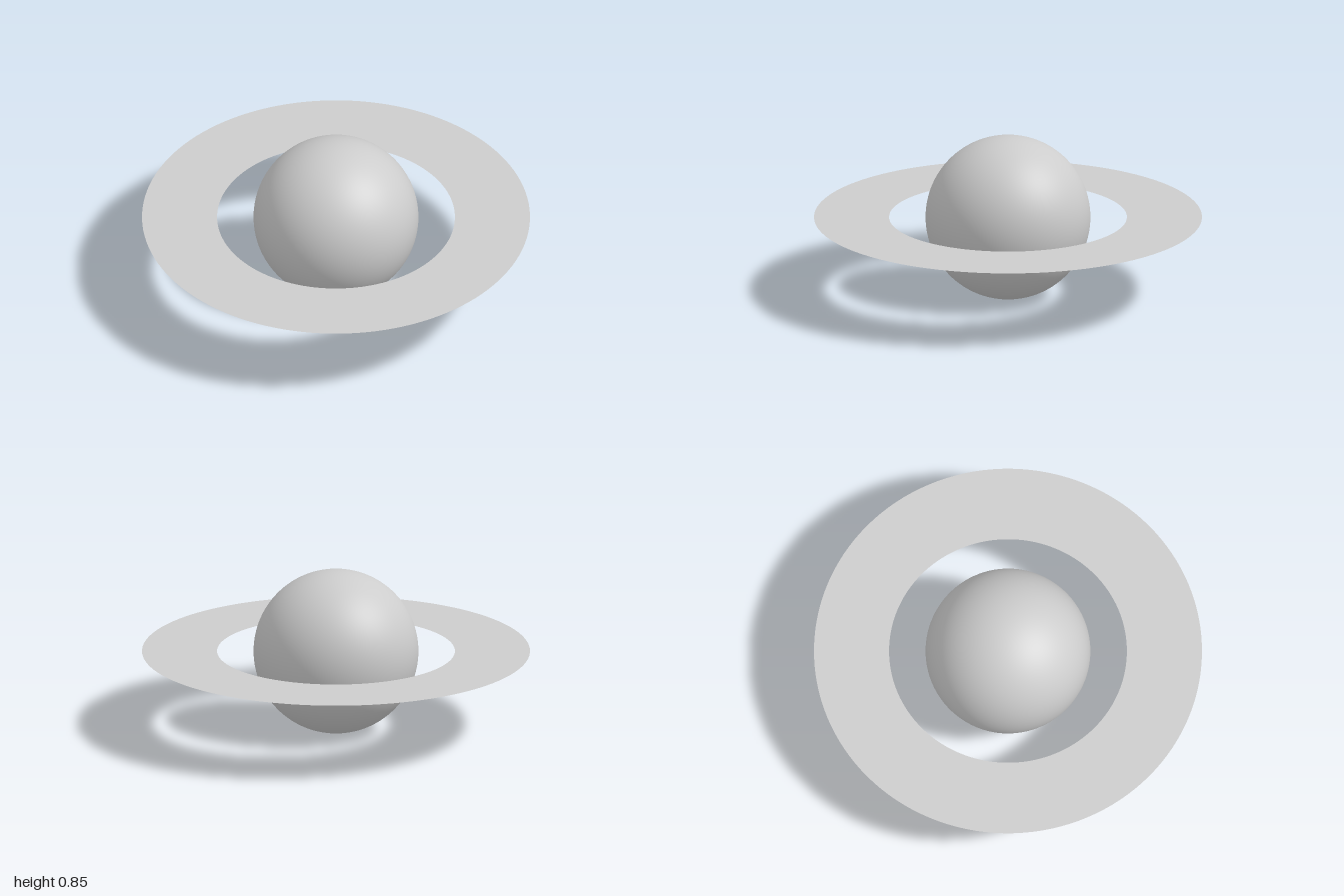
import * as THREE from 'three';

const RADIUS = 0.425;
const RING_INNER = 0.613;
const RING_OUTER = 1;

export function createModel() {
  const model = new THREE.Group();
  model.name = 'ringedPlanet';

  const paleGrey = new THREE.MeshStandardMaterial({ color: 0xcccccc, side: THREE.DoubleSide });
  paleGrey.name = 'paleGrey';

  // Smooth round body resting on the ground
  const planet = new THREE.Mesh(new THREE.SphereGeometry(RADIUS, 96, 64), paleGrey);
  planet.name = 'planet';
  planet.position.y = RADIUS;
  model.add(planet);

  // Paper-thin flat ring around the equator
  const ring = new THREE.Mesh(new THREE.RingGeometry(RING_INNER, RING_OUTER, 128), paleGrey);
  ring.name = 'ring';
  ring.rotation.x = -Math.PI / 2;
  ring.position.y = RADIUS;
  model.add(ring);

  return model;
}
